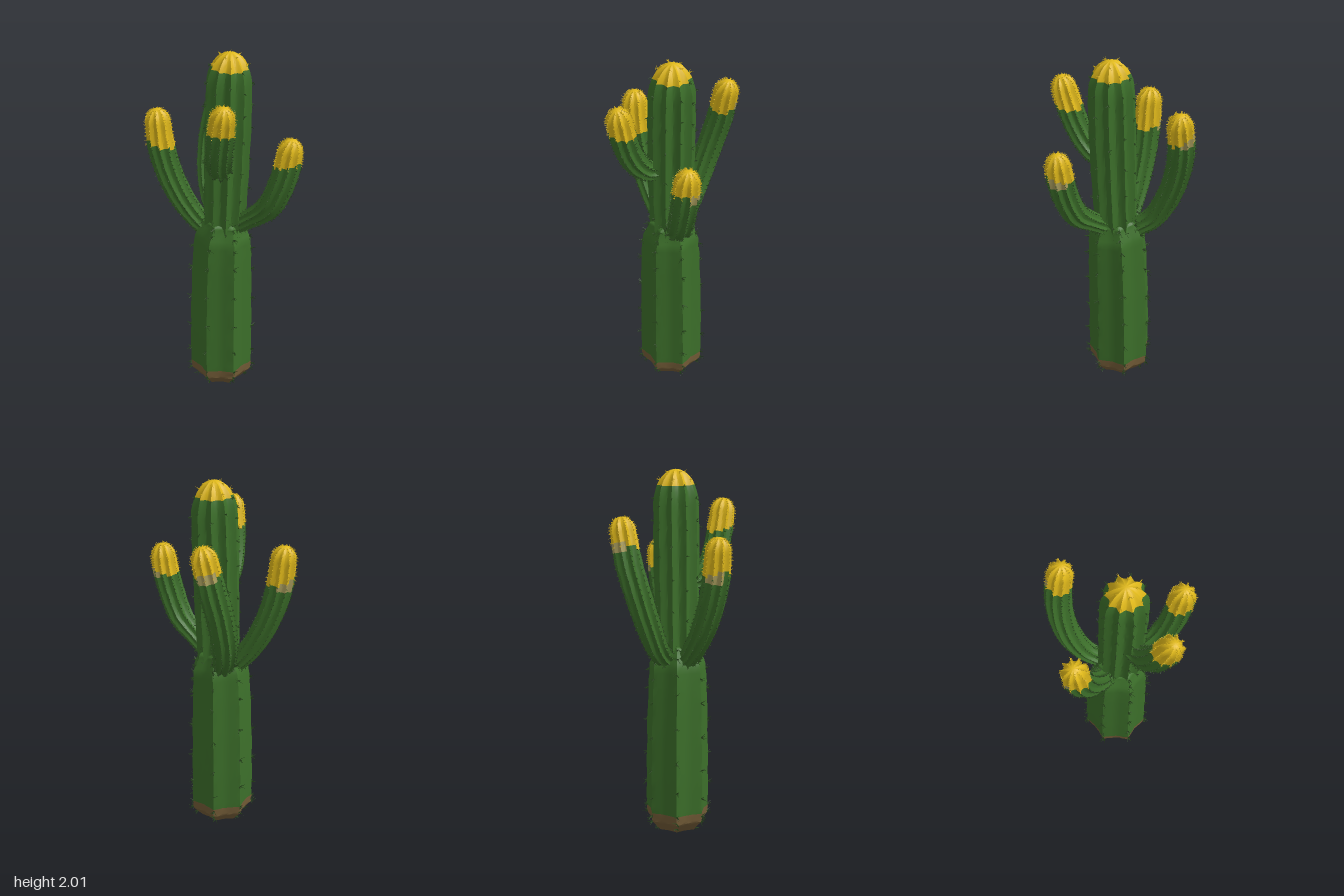
import * as THREE from 'three';
import { mergeGeometries, toCreasedNormals } from 'three/addons/utils/BufferGeometryUtils.js';

const V = (x, y, z) => new THREE.Vector3(x, y, z);
const UP = V(0, 1, 0);

// Small seeded random generator
let seed = 7;
const rand = () => {
  seed = (seed * 16807) % 2147483647;
  return seed / 2147483647;
};
const spread = (s) => (rand() - 0.5) * 2 * s;

// Rings along a path of [x, y, z, radius] stations, closed by a dome of height cap
function makeRings(stations, cap, steps) {
  const curve = new THREE.CatmullRomCurve3(stations.map((s) => V(s[0], s[1], s[2])));
  const n = (stations.length - 1) * steps;
  const rings = [];
  for (let i = 0; i <= n; i++) {
    const u = i / n;
    const k = Math.min(Math.floor(i / steps), stations.length - 2);
    const r = THREE.MathUtils.lerp(stations[k][3], stations[k + 1][3], i / steps - k);
    rings.push({ c: curve.getPoint(u), t: curve.getTangent(u), r });
  }
  const end = rings[n];
  for (let i = 1; i <= 8; i++) {
    const a = (i / 8) * Math.PI / 2;
    rings.push({
      c: end.c.clone().addScaledVector(end.t, cap * Math.sin(a)),
      t: end.t,
      r: i === 8 ? 0 : end.r * Math.cos(a),
    });
  }
  for (const ring of rings) {
    const q = new THREE.Quaternion().setFromUnitVectors(UP, ring.t);
    ring.n = V(0, 0, 1).applyQuaternion(q);
    ring.b = V(1, 0, 0).applyQuaternion(q);
  }
  return rings;
}

const radial = (ring, a) =>
  ring.n.clone().multiplyScalar(Math.cos(a)).addScaledVector(ring.b, Math.sin(a));

// Ribbed skin over the rings; paint(centre, direction, ring) picks the material slot of each quad
function makeSkin(rings, ribs, depth, phase, materials, paint) {
  const sides = ribs * 6;
  const pos = [];
  rings.forEach((ring, i) => {
    for (let j = 0; j < sides; j++) {
      const d = 1 - Math.abs(1 - (j % 6) / 3);
      const wobble = 1 + 0.012 * Math.sin(i * 1.7 + j * 2.3);
      const r = ring.r * (1 - depth * Math.sin(d * Math.PI / 2)) * wobble;
      const p = radial(ring, phase + (j / sides) * Math.PI * 2).multiplyScalar(r).add(ring.c);
      pos.push(p.x, Math.max(p.y, 0), p.z);
    }
  });
  const slots = materials.map(() => []);
  for (let i = 0; i < rings.length - 1; i++) {
    for (let j = 0; j < sides; j++) {
      const k = (j + 1) % sides;
      const a = i * sides + j, b = i * sides + k, c = b + sides, d = a + sides;
      const mid = rings[i].c.clone().lerp(rings[i + 1].c, 0.5);
      const dir = radial(rings[i], phase + ((j + 0.5) / sides) * Math.PI * 2);
      const list = slots[paint(mid, dir, i)];
      if (rings[i].r > 0) list.push(a, b, c);
      if (rings[i + 1].r > 0) list.push(a, c, d);
    }
  }
  const geo = new THREE.BufferGeometry();
  geo.setAttribute('position', new THREE.Float32BufferAttribute(pos, 3));
  geo.setIndex(slots.flat());
  let start = 0;
  slots.forEach((s, m) => {
    geo.addGroup(start, s.length, m);
    start += s.length;
  });
  return new THREE.Mesh(toCreasedNormals(geo, 0.6), materials);
}

// Tufts of thin spines on the rib crests: one mesh below tipHeight, one above it
function makeSpines(rings, ribs, phase, materials, tipHeight, { every, count, length, width, splay }) {
  const parts = materials.map(() => []);
  for (let i = 1; i < rings.length - 2; i++) {
    for (let k = 0; k < ribs; k++) {
      if ((i + (k % 2)) % every) continue;
      const ring = rings[i];
      const out = radial(ring, phase + (k / ribs) * Math.PI * 2);
      const base = out.clone().multiplyScalar(ring.r * 0.98).add(ring.c);
      for (let s = 0; s < count; s++) {
        const dir = out.clone().add(V(spread(splay), spread(splay), spread(splay))).normalize();
        const len = length * (0.6 + 0.5 * rand());
        const spine = new THREE.ConeGeometry(width, len, 3, 1, true);
        spine.translate(0, len / 2, 0);
        spine.applyQuaternion(new THREE.Quaternion().setFromUnitVectors(UP, dir));
        spine.translate(base.x, base.y, base.z);
        parts[base.y > tipHeight ? 1 : 0].push(spine);
      }
    }
  }
  return parts
    .map((list, m) => list.length && new THREE.Mesh(mergeGeometries(list), materials[m]))
    .filter(Boolean);
}

export function createModel() {
  seed = 7;
  const mat = (name, color) => new THREE.MeshStandardMaterial({ name, color });
  const green = mat('cactus green', 0x3c6f2a);
  const yellow = mat('tip yellow', 0xdfb81a);
  const brown = mat('base brown', 0x735c37);
  const tan = mat('faded tan', 0xa89c5c);
  const dark = mat('underside dark', 0x57514a);
  const spineMats = [mat('spine dark green', 0x2a4a1e), yellow];

  const model = new THREE.Group();
  model.name = 'cactus';
  const add = (name, skin, spines) => {
    const group = new THREE.Group();
    group.name = name;
    skin.name = name + 'Skin';
    spines.forEach((mesh, i) => { mesh.name = name + (i ? 'TipSpines' : 'Spines'); });
    group.add(skin, ...spines);
    model.add(group);
  };

  // Thick lower trunk with a brown foot and sloping shoulders
  const lower = makeRings([
    [-0.033, 0, 0.015, 0.12], [-0.033, 0.06, 0.015, 0.174], [-0.033, 0.11, 0.015, 0.178],
    [-0.033, 0.3, 0.015, 0.178], [-0.03, 0.55, 0.016, 0.174], [-0.025, 0.8, 0.02, 0.167],
    [-0.02, 0.94, 0.022, 0.158], [-0.012, 1.02, 0.025, 0.122],
  ], 0.04, 4);
  lower.unshift({ ...lower[0], r: 0 });
  const lowerPhase = 0.65;
  add('lowerTrunk',
    makeSkin(lower, 7, 0.15, lowerPhase, [green, brown, dark],
      (p, d, i) => (i === 0 ? 2 : p.y < 0.11 ? 1 : 0)),
    makeSpines(lower, 7, lowerPhase, spineMats, 2,
      { every: 3, count: 7, length: 0.036, width: 0.0028, splay: 0.9 }));

  // Slimmer upper trunk with a rounded yellow crown
  const upper = makeRings([
    [-0.015, 0.92, 0.025, 0.11], [-0.01, 1.05, 0.025, 0.118], [0, 1.3, 0.028, 0.123],
    [0.01, 1.6, 0.03, 0.126], [0.016, 1.81, 0.03, 0.123],
  ], 0.19, 5);
  add('upperTrunk',
    makeSkin(upper, 10, 0.2, 0.3, [green, yellow], (p) => (p.y > 1.915 ? 1 : 0)),
    makeSpines(upper, 10, 0.3, spineMats, 1.92,
      { every: 3, count: 5, length: 0.024, width: 0.0024, splay: 0.9 }));

  // Curved arms: stations, and the height where the yellow tip begins
  const arms = {
    leftArm: { tip: 1.43, path: [
      [0.04, 1, 0.035, 0.05], [0.15, 1.08, 0.06, 0.054], [0.245, 1.165, 0.08, 0.067],
      [0.308, 1.3, 0.09, 0.071], [0.342, 1.42, 0.09, 0.072], [0.355, 1.5, 0.09, 0.068]] },
    rightArm: { tip: 1.48, path: [
      [-0.09, 0.95, 0.02, 0.05], [-0.17, 1.045, 0.045, 0.06], [-0.245, 1.17, 0.065, 0.067],
      [-0.305, 1.32, 0.08, 0.071], [-0.34, 1.47, 0.09, 0.074], [-0.353, 1.6, 0.092, 0.069]] },
    backArm: { tip: 1.62, path: [
      [-0.06, 0.98, -0.06, 0.05], [-0.125, 1.06, -0.145, 0.06], [-0.16, 1.2, -0.215, 0.067],
      [-0.162, 1.38, -0.277, 0.071], [-0.137, 1.55, -0.318, 0.072], [-0.105, 1.7, -0.332, 0.068]] },
    frontArm: { tip: 1.66, path: [
      [0, 1.38, 0.07, 0.045], [0.003, 1.395, 0.16, 0.056], [0.01, 1.455, 0.225, 0.065],
      [0.025, 1.55, 0.277, 0.069], [0.042, 1.66, 0.312, 0.071], [0.055, 1.75, 0.332, 0.067]] },
  };
  for (const [name, { tip, path }] of Object.entries(arms)) {
    const rings = makeRings(path, 0.08, 6);
    const outward = V(path[5][0], 0, path[5][2]).normalize();
    const faded = outward.clone().multiplyScalar(0.6).add(V(0, 0, -0.6));
    // The yellow reaches lower on the inner side; a faded patch sits on the outer rear side
    const paint = (p, d) => {
      if (p.y > tip + 0.03 * d.dot(outward)) return 1;
      return d.dot(faded) > 0.5 && p.y > tip - 0.025 ? 2 : 0;
    };
    add(name,
      makeSkin(rings, 10, 0.18, 0.2, [green, yellow, tan], paint),
      makeSpines(rings, 10, 0.2, spineMats, tip,
        { every: 1, count: 4, length: 0.014, width: 0.002, splay: 0.8 }));
  }
  return model;
}
